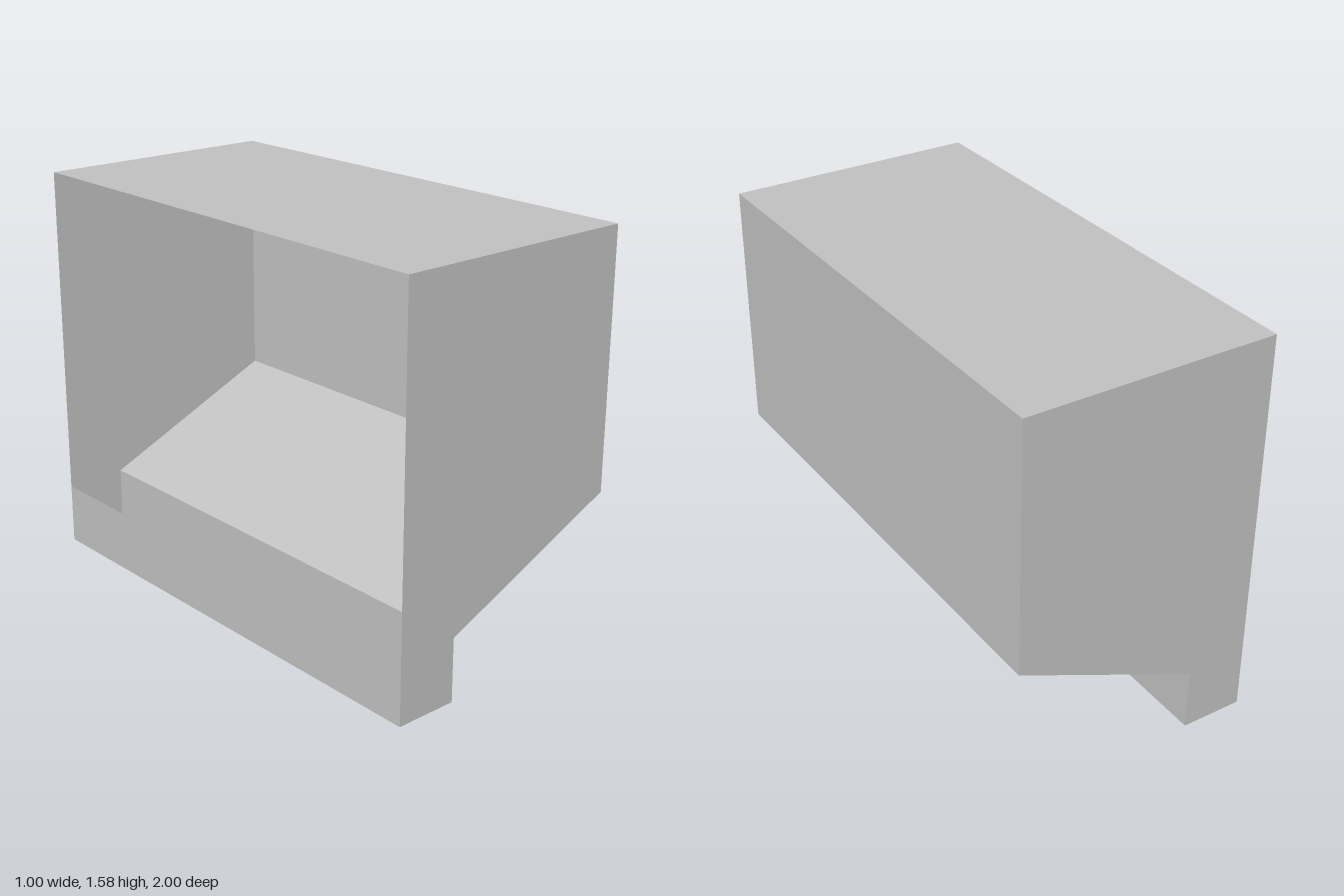
import * as THREE from 'three';

export function createModel() {
  const model = new THREE.Group();
  model.name = 'openHopper';
  const grey = new THREE.MeshStandardMaterial({ color: 0xc0c0c0, side: THREE.DoubleSide });
  grey.name = 'light grey';

  const depth = 2;
  const add = (geometry, name) => {
    const mesh = new THREE.Mesh(geometry, grey);
    mesh.name = name;
    model.add(mesh);
    return mesh;
  };

  // Profile, counter-clockwise; the side at x = -0.5 stays open above the lip
  const profile = [
    [-0.5, 0.245], [-0.5, 0], [-0.25, 0], [-0.25, 0.25],
    [0.5, 0.583], [0.5, 1.583], [-0.5, 1.583],
  ].map(([x, y]) => new THREE.Vector2(x, y));
  const names = ['frontLip', 'troughBase', 'troughWall', 'slopedFloor', 'sideWall', 'roof'];

  // One thin sheet along each profile segment, facing outward
  names.forEach((name, i) => {
    const a = profile[i], b = profile[i + 1];
    const sheet = new THREE.PlaneGeometry(a.distanceTo(b), depth);
    sheet.rotateX(Math.PI / 2);
    sheet.rotateZ(Math.atan2(b.y - a.y, b.x - a.x));
    sheet.translate((a.x + b.x) / 2, (a.y + b.y) / 2, 0);
    add(sheet, name);
  });

  // End panels, the rear one turned by reversing its outline in x
  const front = new THREE.ShapeGeometry(new THREE.Shape(profile));
  add(front, 'frontPanel').position.z = depth / 2;
  const mirrored = profile.map((p) => new THREE.Vector2(-p.x, p.y));
  const back = add(new THREE.ShapeGeometry(new THREE.Shape(mirrored)), 'backPanel');
  back.rotation.y = Math.PI;
  back.position.z = -depth / 2;

  return model;
}
